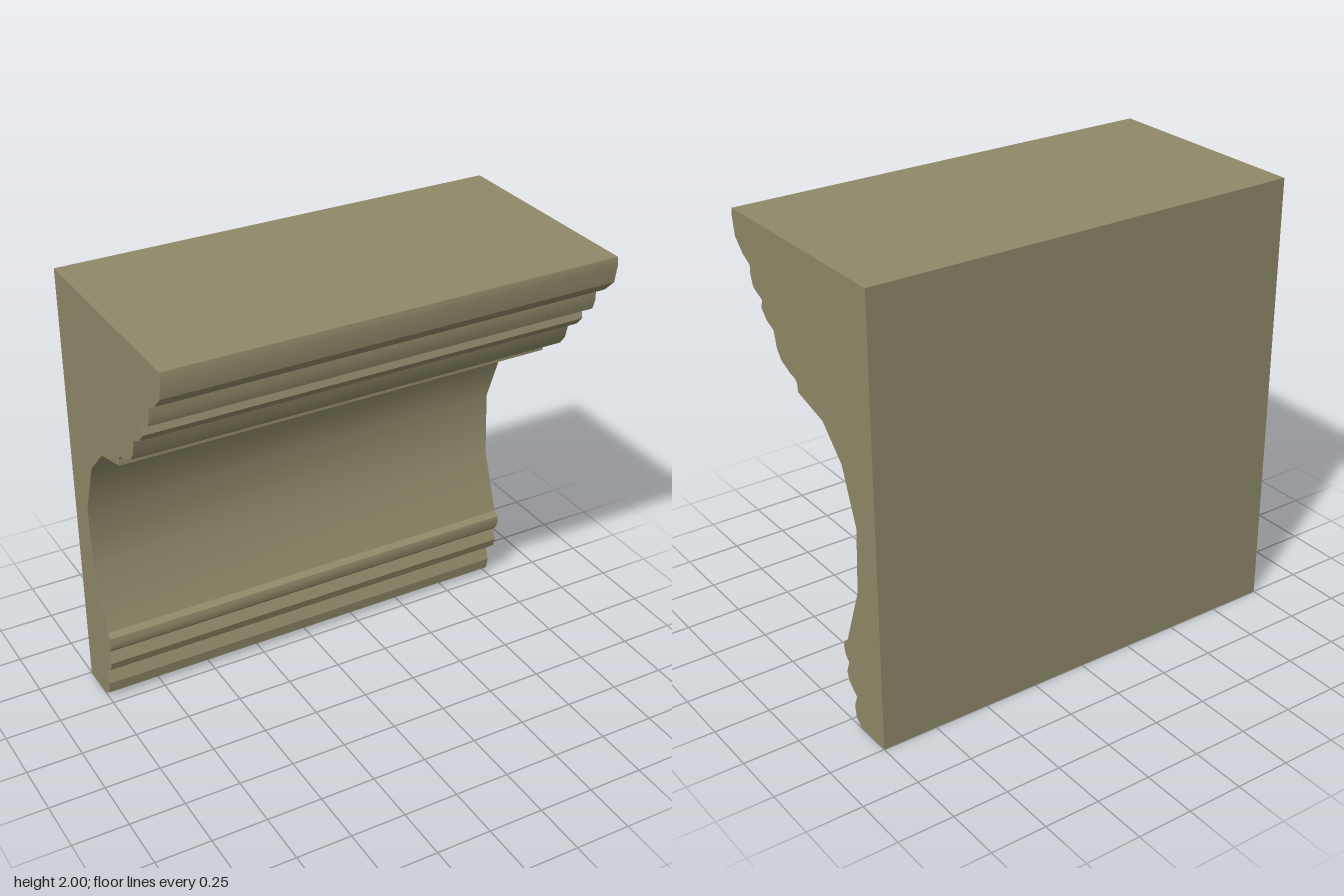
import * as THREE from 'three';
import { toCreasedNormals } from 'three/addons/utils/BufferGeometryUtils.js';

export function createModel() {
  const group = new THREE.Group();
  group.name = 'crownMoulding';

  const stone = new THREE.MeshStandardMaterial({ color: 0x8f8968 });
  stone.name = 'olive stone';

  // Cross-section as [z, y], running down the moulded face from the top
  const crown = [
    [0.5, 2], [0.505, 1.97], [0.49, 1.885], [0.435, 1.83], [0.38, 1.8],
    [0.38, 1.76], [0.365, 1.715], [0.34, 1.7], [0.295, 1.68],
    [0.305, 1.645], [0.27, 1.605], [0.215, 1.58],
    [0.197, 1.51], [0.167, 1.47], [0.1, 1.44], [0.06, 1.43], [0.045, 1.41], [0.045, 1.38],
  ];
  const cove = [[-0.14, 1.33], [-0.27, 1.2], [-0.36, 0.96], [-0.345, 0.66], [-0.245, 0.385]];
  const base = [
    [-0.22, 0.367], [-0.215, 0.34], [-0.225, 0.305], [-0.25, 0.28],
    [-0.23, 0.228], [-0.245, 0.185], [-0.3, 0.14],
    [-0.28, 0.085], [-0.29, 0.03], [-0.33, 0],
  ];
  const back = [[-0.5, 0], [-0.5, 2]];

  const profile = new THREE.Shape(
    [...crown, ...cove, ...base, ...back].map(([z, y]) => new THREE.Vector2(z, y))
  );

  // Sweep the section along x, smoothing only the gentle curves
  const swept = new THREE.ExtrudeGeometry(profile, { depth: 2, bevelEnabled: false });
  swept.translate(0, 0, -1);
  swept.rotateY(-Math.PI / 2);
  const moulding = new THREE.Mesh(toCreasedNormals(swept, THREE.MathUtils.degToRad(28)), stone);
  moulding.name = 'moulding';
  group.add(moulding);

  return group;
}
